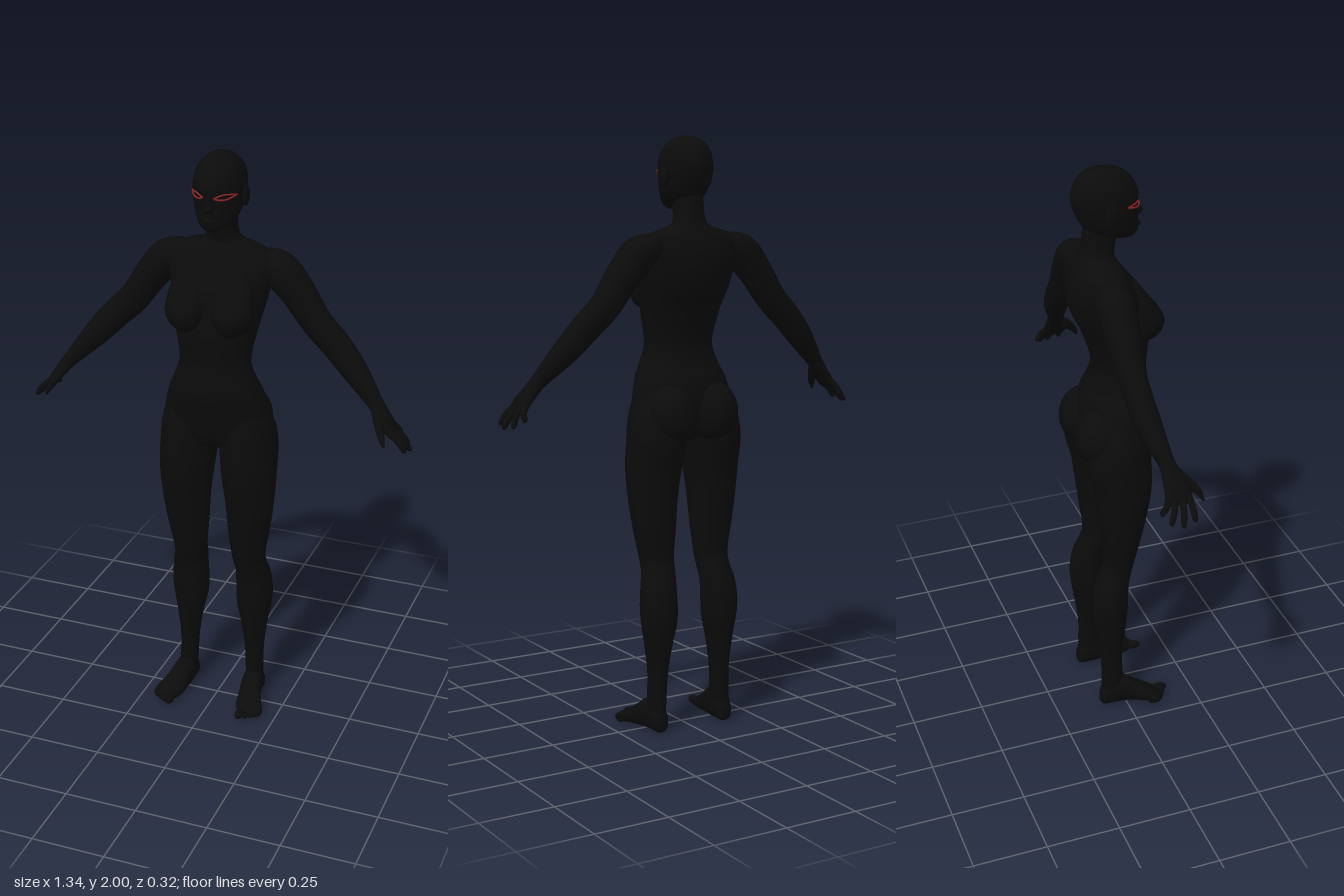
import * as THREE from 'three';

const skin = new THREE.MeshStandardMaterial({ color: 0x0b0b0b });
skin.name = 'black skin';
const red = new THREE.MeshStandardMaterial({ color: 0x8c2424 });
red.name = 'red lashes';

const V = (x, y, z) => new THREE.Vector3(x, y, z);

// Smoothly resample rows of numbers (Catmull-Rom on every column)
function resample(rows, steps) {
  const out = [];
  const at = i => rows[Math.min(Math.max(i, 0), rows.length - 1)];
  for (let i = 0; i < rows.length - 1; i++) {
    for (let k = 0; k < steps; k++) {
      const t = k / steps;
      out.push(rows[i].map((b, j) => {
        const a = at(i - 1)[j], c = at(i + 1)[j], d = at(i + 2)[j];
        return b + 0.5 * t * (c - a + t * (2 * a - 5 * b + 4 * c - d + t * (3 * (b - c) + d - a)));
      }));
    }
  }
  out.push(rows[rows.length - 1]);
  return out;
}

// Closed smooth skin over rings {c, u, v}; side -1 mirrors it in x
function skinRings(rings, side = 1, power = 1, seg = 28) {
  const pos = [], idx = [];
  const bend = a => Math.sign(a) * Math.abs(a) ** power;
  const put = p => pos.push(p.x * side, p.y, p.z);
  for (const { c, u, v } of rings) {
    for (let j = 0; j < seg; j++) {
      const a = (j / seg) * Math.PI * 2;
      put(c.clone().addScaledVector(u, bend(Math.cos(a))).addScaledVector(v, bend(Math.sin(a))));
    }
  }
  const n = rings.length, end = n * seg;
  put(rings[0].c);
  put(rings[n - 1].c);
  for (let j = 0; j < seg; j++) {
    const k = (j + 1) % seg;
    for (let i = 0; i < n - 1; i++) {
      const a = i * seg + j, b = i * seg + k;
      idx.push(a, b, a + seg, b, b + seg, a + seg);
    }
    idx.push(end, k, j, end + 1, (n - 1) * seg + j, (n - 1) * seg + k);
  }
  // Turn the faces outward if the enclosed volume is negative
  let volume = 0;
  const P = i => V(pos[3 * i], pos[3 * i + 1], pos[3 * i + 2]);
  for (let i = 0; i < idx.length; i += 3) volume += P(idx[i]).dot(P(idx[i + 1]).cross(P(idx[i + 2])));
  if (volume < 0) idx.reverse();
  const g = new THREE.BufferGeometry();
  g.setAttribute('position', new THREE.Float32BufferAttribute(pos, 3));
  g.setIndex(idx);
  g.computeVertexNormals();
  return g;
}

// Upright form, rows: [y, centre x, half width, front z, back z]
const upright = (rows, side, power) => skinRings(resample(rows, 5).map(([y, x, w, f, b]) => ({
  c: V(x, y, (f + b) / 2), u: V(w, 0, 0), v: V(0, 0, (f - b) / 2),
})), side, power);

// Form along a path, rows: [x, y, z, thickness radius, width radius]
function limb(rows, side, seg) {
  const r = resample(rows, 5);
  const c = r.map(p => V(p[0], p[1], p[2]));
  return skinRings(r.map((p, i) => {
    const t = c[Math.min(i + 1, c.length - 1)].clone().sub(c[Math.max(i - 1, 0)]).normalize();
    const n = V(-t.y, t.x, 0).normalize();
    return { c: c[i], u: n.clone().multiplyScalar(p[3]), v: t.cross(n).multiplyScalar(p[4]) };
  }), side, 1, seg);
}

// Form along z, rows: [z, centre x, half width, bottom y, top y]
const lengthwise = (rows, side, power) => skinRings(resample(rows, 4).map(([z, x, w, lo, hi]) => ({
  c: V(x, (lo + hi) / 2, z), u: V(w, 0, 0), v: V(0, (hi - lo) / 2, 0),
})), side, power, 20);

export function createModel() {
  const model = new THREE.Group();
  model.name = 'figure';
  const add = (name, geometry, material = skin) => {
    const m = new THREE.Mesh(geometry, material);
    m.name = name;
    model.add(m);
    return m;
  };
  const ball = (name, x, y, z, rx, ry, rz) => {
    const m = add(name, new THREE.SphereGeometry(1, 28, 20));
    m.position.set(x, y, z);
    m.scale.set(rx, ry, rz);
    return m;
  };

  // Head and face
  add('head', upright([
    [2, 0, 0.012, -0.015, -0.05], [1.988, 0, 0.043, 0.028, -0.09], [1.955, 0, 0.073, 0.065, -0.123],
    [1.91, 0, 0.084, 0.083, -0.136], [1.87, 0, 0.083, 0.082, -0.13], [1.83, 0, 0.076, 0.083, -0.113],
    [1.8, 0, 0.065, 0.084, -0.09], [1.777, 0, 0.048, 0.081, -0.05], [1.762, 0, 0.024, 0.07, 0],
  ]));
  add('nose', upright([
    [1.885, 0, 0.006, 0.083, 0.06], [1.86, 0, 0.009, 0.092, 0.06],
    [1.84, 0, 0.015, 0.103, 0.06], [1.828, 0, 0.013, 0.09, 0.06],
  ]));
  ball('lips', 0, 1.802, 0.08, 0.024, 0.01, 0.012);

  // Neck and torso
  add('torso', upright([
    [1.83, 0, 0.046, 0.025, -0.095], [1.775, 0, 0.048, 0.014, -0.1], [1.735, 0, 0.051, 0.004, -0.104],
    [1.71, 0, 0.068, 0, -0.11], [1.69, 0, 0.13, 0.01, -0.12], [1.665, 0, 0.178, 0.025, -0.132],
    [1.62, 0, 0.184, 0.055, -0.145], [1.56, 0, 0.168, 0.085, -0.147], [1.5, 0, 0.155, 0.096, -0.132],
    [1.42, 0, 0.138, 0.112, -0.095], [1.32, 0, 0.121, 0.105, -0.066], [1.25, 0, 0.141, 0.112, -0.077],
    [1.2, 0, 0.163, 0.115, -0.1], [1.12, 0, 0.184, 0.1, -0.115], [1.05, 0, 0.186, 0.085, -0.11],
    [1.01, 0, 0.13, 0.06, -0.08], [0.99, 0, 0.04, 0.02, -0.05],
  ], 1, 0.92));

  for (const s of [1, -1]) {
    const side = s > 0 ? 'left' : 'right';
    const part = (name, geometry, material) => add(side + name, geometry, material);

    ball(side + 'Ear', s * 0.084, 1.866, -0.03, 0.012, 0.034, 0.022);

    // Red lashes following the curve of the face
    for (const [name, lift] of [['UpperLash', 0.009], ['LowerLash', -0.008]]) {
      const pts = [0, 0.25, 0.5, 0.75, 1].map(t => {
        const x = 0.018 + 0.058 * t;
        const z = -0.024 + 0.109 * Math.sqrt(1 - (x / 0.0845) ** 2);
        return V(s * x, 1.877 + 0.006 * t + lift * Math.sin(Math.PI * t), z);
      });
      part(name, new THREE.TubeGeometry(new THREE.CatmullRomCurve3(pts), 20, 0.003, 6), red);
    }

    part('Breast', upright([
      [1.635, 0.085, 0.025, 0.05, 0], [1.58, 0.082, 0.055, 0.092, 0], [1.53, 0.08, 0.068, 0.13, 0],
      [1.49, 0.08, 0.07, 0.145, 0], [1.45, 0.078, 0.057, 0.132, 0], [1.425, 0.076, 0.028, 0.105, 0.02],
    ], s));
    ball(side + 'Buttock', s * 0.08, 1.085, -0.07, 0.088, 0.105, 0.088);

    // Arm and palm
    part('Arm', limb([
      [0.12, 1.65, -0.065, 0.03, 0.04], [0.165, 1.638, -0.065, 0.05, 0.058],
      [0.205, 1.61, -0.06, 0.062, 0.062], [0.26, 1.545, -0.06, 0.057, 0.056],
      [0.322, 1.457, -0.06, 0.052, 0.047], [0.39, 1.39, -0.055, 0.05, 0.043],
      [0.45, 1.325, -0.045, 0.045, 0.041], [0.5, 1.27, -0.03, 0.036, 0.032],
      [0.535, 1.23, -0.018, 0.028, 0.026], [0.56, 1.2, -0.01, 0.023, 0.034],
      [0.585, 1.167, -0.003, 0.02, 0.043], [0.605, 1.138, -0.003, 0.015, 0.043],
      [0.612, 1.125, -0.003, 0.008, 0.034],
    ], s));

    // Fingers: base z, then tip x, y, z
    const fingers = [[0.029, 0.66, 1.084, 0.03], [0.008, 0.668, 1.075, -0.01],
      [-0.014, 0.652, 1.08, -0.043], [-0.034, 0.622, 1.1, -0.062]];
    fingers.forEach(([z, tx, ty, tz], i) => part('Finger' + (i + 1), limb([
      [0.59, 1.158, z, 0.01, 0.01], [(0.596 + tx) / 2 + 0.005, (1.15 + ty) / 2 + 0.004, (z + tz) / 2, 0.011, 0.01],
      [tx - 0.006, ty + 0.009, tz, 0.009, 0.009], [tx, ty, tz, 0.003, 0.003],
    ], s, 12)));
    part('Thumb', limb([
      [0.55, 1.205, 0.008, 0.015, 0.016], [0.572, 1.17, 0.042, 0.015, 0.016],
      [0.588, 1.14, 0.068, 0.011, 0.011], [0.599, 1.115, 0.08, 0.004, 0.004],
    ], s, 12));

    // Leg from hip to ankle
    part('Leg', upright([
      [1.16, 0.1, 0.07, 0.07, -0.07], [1.08, 0.104, 0.092, 0.09, -0.115], [1, 0.107, 0.098, 0.095, -0.13],
      [0.9, 0.112, 0.094, 0.095, -0.106], [0.8, 0.115, 0.084, 0.08, -0.092], [0.7, 0.112, 0.075, 0.06, -0.08],
      [0.6, 0.108, 0.062, 0.037, -0.069], [0.55, 0.109, 0.059, 0.025, -0.085], [0.5, 0.117, 0.062, 0.013, -0.104],
      [0.43, 0.12, 0.065, 0.01, -0.115], [0.37, 0.119, 0.061, 0.006, -0.112], [0.3, 0.121, 0.047, 0, -0.101],
      [0.2, 0.123, 0.034, -0.01, -0.087], [0.1, 0.126, 0.031, -0.006, -0.086], [0.04, 0.127, 0.03, 0, -0.084],
    ], s));

    // Foot and toes, turned outward
    part('Foot', lengthwise([
      [-0.092, 0.127, 0.012, 0.012, 0.04], [-0.08, 0.127, 0.027, 0, 0.075], [-0.04, 0.128, 0.034, 0, 0.11],
      [0, 0.13, 0.037, 0, 0.105], [0.04, 0.139, 0.041, 0, 0.075], [0.08, 0.15, 0.048, 0, 0.05],
      [0.105, 0.158, 0.045, 0, 0.036], [0.122, 0.16, 0.032, 0.005, 0.022],
    ], s, 0.85));
    for (let i = 0; i < 5; i++) {
      const r = i ? 0.0105 - i * 0.0006 : 0.015;
      const x = [0.133, 0.154, 0.17, 0.183, 0.193][i];
      ball(side + 'Toe' + (i + 1), s * x, r + 0.002, 0.132 - i * 0.01, r, r, i ? 0.023 : 0.027);
    }
  }
  return model;
}
